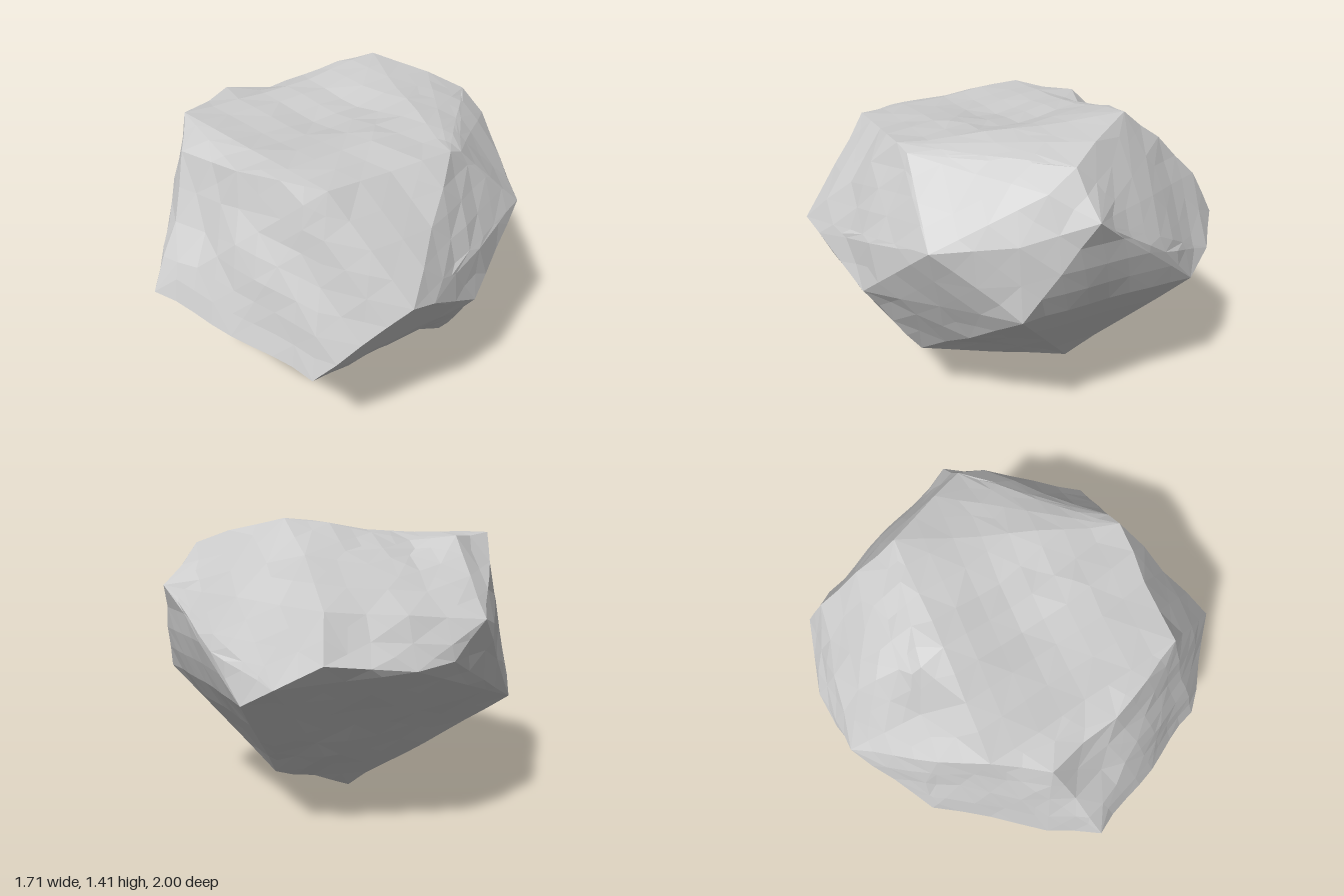
import * as THREE from 'three';
import { ConvexGeometry } from 'three/addons/geometries/ConvexGeometry.js';

const v = (x, y, z) => new THREE.Vector3(x, y, z);

// Main corners of the boulder
const CORNERS = [
  // pointed base
  v(-0.05, 0, 0), v(0.52, 0.29, 0.33), v(0.4, 0.3, -0.3), v(0.25, 0.17, -0.34), v(0.67, 0.47, 0.05),
  // front ridge
  v(-0.05, 0.52, 1), v(0.15, 0.69, 0.96), v(0.36, 0.87, 0.93), v(0.45, 0.83, 0.83), v(-0.42, 0.61, 0.84),
  // left side (+x)
  v(0.65, 0.65, 0.55), v(0.85, 0.96, 0.17), v(0.82, 0.66, -0.22), v(0.72, 1.1, -0.52), v(0.8, 1.0, -0.2),
  // right side (-x)
  v(-0.8, 0.69, 0.65), v(-0.84, 0.62, 0.4), v(-0.83, 0.6, 0.1), v(-0.86, 0.57, -0.18),
  v(-0.8, 0.9, -0.2), v(-0.75, 0.99, -0.56), v(-0.75, 1.2, -0.13),
  // back
  v(-0.14, 0.85, -1), v(0.07, 0.74, -0.99), v(0.23, 0.65, -0.92), v(0.4, 0.85, -0.79),
  v(-0.49, 0.81, -0.84), v(-0.63, 0.83, -0.7), v(-0.12, 1.05, -0.9), v(0, 1.26, -0.72),
  // top
  v(0, 1.3, 0.75), v(-0.4, 1.28, 0.57), v(-0.69, 1.26, 0.36), v(0.39, 1.3, 0.42), v(0.5, 1.32, 0.4),
  v(0.55, 1.29, 0.34), v(0.5, 1.17, 0.49), v(-0.73, 1.33, 0.1), v(-0.6, 1.33, -0.24), v(-0.25, 1.22, -0.61),
  v(0.13, 1.41, -0.56), v(0.42, 1.35, -0.46), v(0.6, 1.29, -0.4), v(0.7, 1.2, -0.3),
];

// Worn hollows: centre, spread, depth
const HOLLOWS = [
  [v(-0.66, 1.06, 0.58), 0.03, 0.07], // high on the right front
  [v(-0.03, 0.27, 0.55), 0.06, 0.1], // under the front ridge
  [v(0.35, 0.35, 0.47), 0.02, 0.05], // under the left front
  [v(-0.42, 1.31, -0.36), 0.02, 0.05], // back of the top
  [v(-0.08, 1.34, 0), 0.12, 0.05], // dished top
];

const MAX_EDGE = 0.2;
const CENTRE = v(0, 0.72, 0);

// Halves the longest edge until every facet is small
function split(a, b, c, out) {
  const ab = a.distanceTo(b), bc = b.distanceTo(c), ca = c.distanceTo(a);
  const longest = Math.max(ab, bc, ca);
  if (longest <= MAX_EDGE) { out.push(a, b, c); return; }
  if (longest === bc) return split(b, c, a, out);
  if (longest === ca) return split(c, a, b, out);
  const m = a.clone().add(b).multiplyScalar(0.5);
  split(a, m, c, out);
  split(m, b, c, out);
}

// Small uneven bumps between the corners, plus the hollows
function weather(p) {
  const bump = Math.sin(9.1 * p.x + 4.3 * p.y + 1.1) * Math.sin(8.3 * p.z - 5.2 * p.y)
    + 0.6 * Math.sin(17 * p.x - 13 * p.z + 11 * p.y);
  const corner = CORNERS.some((q) => q.distanceTo(p) < 0.001);
  let push = corner ? 0 : 0.009 * bump - 0.005;
  for (const [centre, spread, depth] of HOLLOWS) {
    push -= depth * Math.exp(-p.distanceToSquared(centre) / spread);
  }
  return p.clone().addScaledVector(p.clone().sub(CENTRE).normalize(), push);
}

export function createModel() {
  const group = new THREE.Group();
  group.name = 'boulder';

  const hull = new ConvexGeometry(CORNERS).getAttribute('position');
  const points = [];
  for (let i = 0; i < hull.count; i += 3) {
    const [a, b, c] = [0, 1, 2].map((k) => new THREE.Vector3().fromBufferAttribute(hull, i + k));
    split(a, b, c, points);
  }
  const geometry = new THREE.BufferGeometry().setFromPoints(points.map(weather));
  geometry.computeVertexNormals();

  const rock = new THREE.Mesh(geometry, new THREE.MeshStandardMaterial({ color: 0xcccccc, flatShading: true }));
  rock.name = 'rock';
  group.add(rock);
  return group;
}
